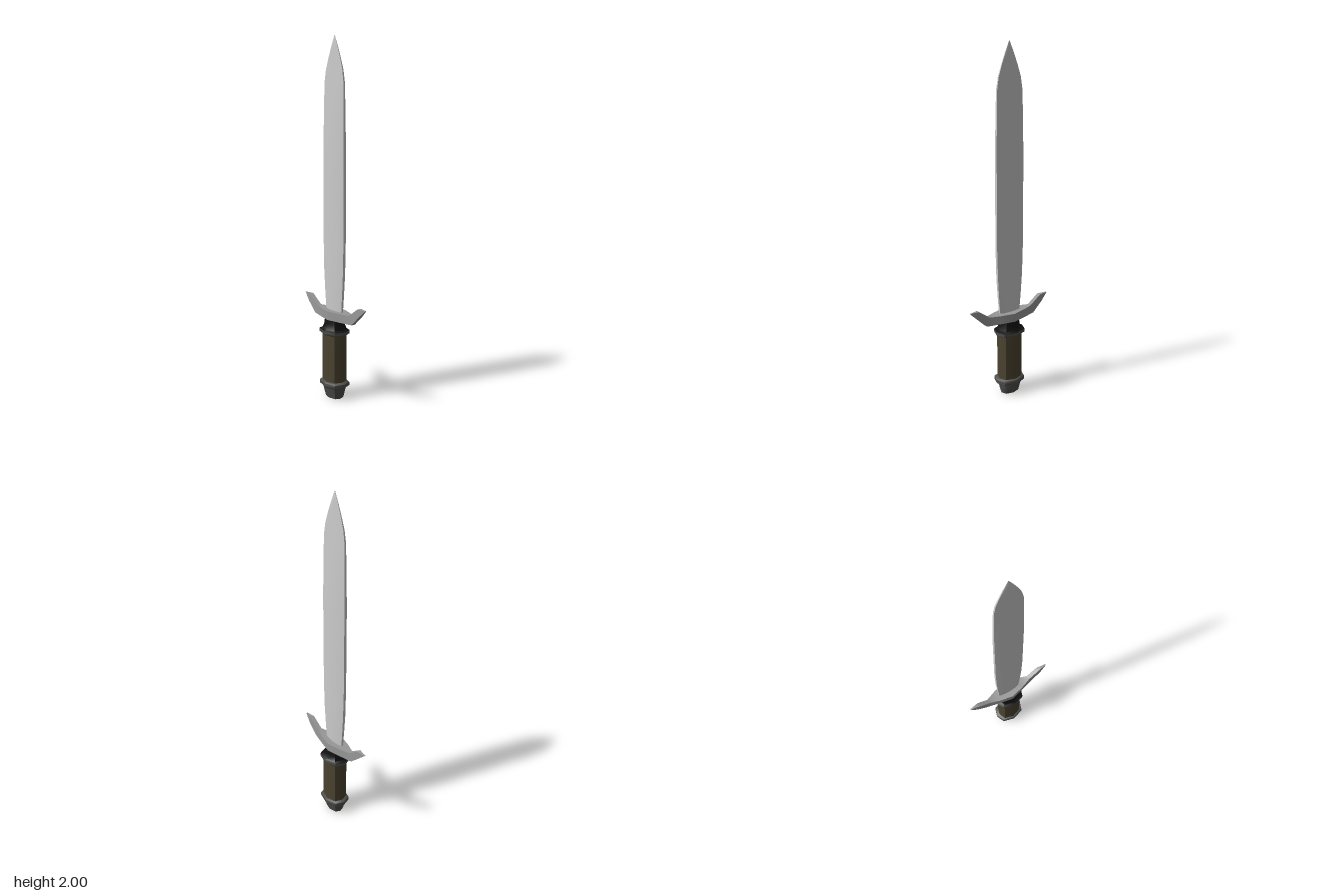
import * as THREE from 'three';
import { toCreasedNormals } from 'three/addons/utils/BufferGeometryUtils.js';

const mat = (name, color) => new THREE.MeshStandardMaterial({ name, color });

// Skin a list of equal-length point rings and close both ends
function loft(rings, crease) {
  const n = rings[0].length, last = (rings.length - 1) * n, index = [];
  for (let i = 0; i < rings.length - 1; i++) {
    for (let j = 0; j < n; j++) {
      const k = (j + 1) % n, a = i * n, b = a + n;
      index.push(a + j, a + k, b + k, a + j, b + k, b + j);
    }
  }
  for (let j = 1; j < n - 1; j++) index.push(0, j + 1, j, last, last + j, last + j + 1);
  const g = new THREE.BufferGeometry();
  g.setAttribute('position', new THREE.Float32BufferAttribute(rings.flat(2), 3));
  g.setIndex(index);
  return toCreasedNormals(g, crease);
}

// Eight-sided oval section swept through [y, half width x, half width z]
function oval(levels) {
  const d = 0.72, e = 0.78;
  const section = [[1, 0], [d, -e], [0, -1], [-d, -e], [-1, 0], [-d, e], [0, 1], [d, e]];
  return loft(levels.map(([y, rx, rz]) => section.map(([x, z]) => [x * rx, y, z * rz])), 0.85);
}

export function createModel() {
  const group = new THREE.Group();
  const steel = mat('bladeSteel', 0xcccccc);
  const guardMetal = mat('guardMetal', 0x989898);
  const darkMetal = mat('darkMetal', 0x4e4e4c);
  const leather = mat('gripLeather', 0x4b4330);
  const black = mat('blackCollar', 0x111111);
  const add = (name, geometry, material) => {
    const mesh = new THREE.Mesh(geometry, material);
    mesh.name = name;
    group.add(mesh);
  };

  // Handle, from the pommel up to the collar
  add('pommel', oval([[0, 0.04, 0.055], [0.07, 0.06, 0.068]]), darkMetal);
  add('lowerRing', oval([[0.066, 0.064, 0.08], [0.073, 0.071, 0.089],
    [0.092, 0.071, 0.089], [0.099, 0.064, 0.08]]), darkMetal);
  add('grip', oval([[0.095, 0.06, 0.07], [0.375, 0.06, 0.07]]), leather);
  add('upperRing', oval([[0.37, 0.064, 0.08], [0.377, 0.072, 0.09], [0.395, 0.072, 0.09]]), darkMetal);
  add('collar', oval([[0.395, 0.072, 0.09], [0.401, 0.06, 0.07],
    [0.43, 0.051, 0.058], [0.46, 0.048, 0.055]]), black);

  // Guard: half width, then the top and bottom edge as z, y
  const half = [
    [0.052, 0, 0.505, 0, 0.456],
    [0.034, 0.08, 0.505, 0.08, 0.456],
    [0.013, 0.142, 0.505, 0.163, 0.456],
    [0.012, 0.212, 0.556, 0.225, 0.515],
    [0.004, 0.245, 0.557, 0.267, 0.555],
  ];
  const mirrored = half.slice(1).reverse().map(([w, zt, yt, zb, yb]) => [w, -zt, yt, -zb, yb]);
  add('guard', loft([...mirrored, ...half].map(([w, zt, yt, zb, yb]) =>
    [[w, yt, zt], [-w, yt, zt], [-w, yb, zb], [w, yb, zb]]), 0.7), guardMetal);

  // Blade: height, half width, half thickness at the ridge, half thickness at the edge
  const levels = [
    [0.49, 0.066, 0.015, 0.006], [0.6, 0.075, 0.017, 0.007], [0.72, 0.083, 0.018, 0.008],
    [0.9, 0.088, 0.019, 0.008], [1.4, 0.088, 0.018, 0.008], [1.65, 0.084, 0.013, 0.006],
    [1.76, 0.08, 0.009, 0.005], [1.82, 0.07, 0.007, 0.004], [1.88, 0.05, 0.005, 0.003],
    [1.94, 0.027, 0.004, 0.002], [2, 0.001, 0.001, 0.0005],
  ];
  add('blade', loft(levels.map(([y, w, t, e]) => {
    const m = e + (t - e) * 0.72;
    return [[t, y, 0], [m, y, -w * 0.55], [e, y, -w], [-e, y, -w], [-m, y, -w * 0.55],
      [-t, y, 0], [-m, y, w * 0.55], [-e, y, w], [e, y, w], [m, y, w * 0.55]];
  }), 0.7), steel);

  return group;
}
